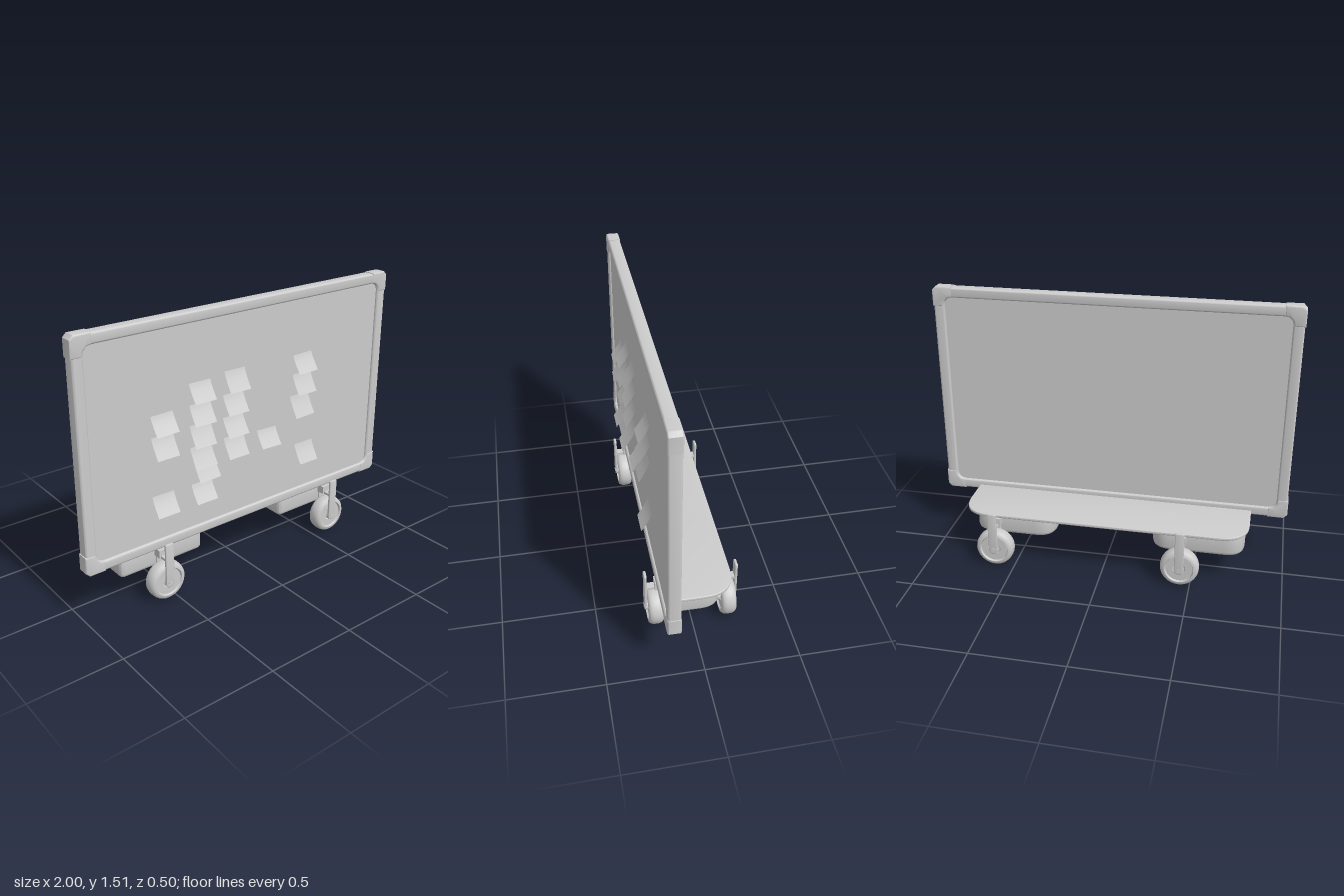
import * as THREE from 'three';
import { toCreasedNormals } from 'three/addons/utils/BufferGeometryUtils.js';

const grey = new THREE.MeshStandardMaterial({ color: 0xcccccc });
const thin = new THREE.MeshStandardMaterial({ color: 0xcccccc, side: THREE.DoubleSide });

function add(parent, name, geometry, x = 0, y = 0, z = 0, material = grey) {
  const mesh = new THREE.Mesh(geometry, material);
  mesh.name = name;
  mesh.position.set(x, y, z);
  parent.add(mesh);
  return mesh;
}

// Rounded rectangle; r1 rounds the lower corners, r2 the upper ones
function roundRect(path, x0, y0, x1, y1, r1, r2 = r1) {
  path.moveTo(x0 + r1, y0);
  path.lineTo(x1 - r1, y0);
  path.quadraticCurveTo(x1, y0, x1, y0 + r1);
  path.lineTo(x1, y1 - r2);
  path.quadraticCurveTo(x1, y1, x1 - r2, y1);
  path.lineTo(x0 + r2, y1);
  path.quadraticCurveTo(x0, y1, x0, y1 - r2);
  path.lineTo(x0, y0 + r1);
  path.quadraticCurveTo(x0, y0, x0 + r1, y0);
  return path;
}

// Extrusion from 0 to depth whose bevel stays inside the outline
function extrude(shape, depth, bevel) {
  const geometry = new THREE.ExtrudeGeometry(shape, {
    depth: depth - 2 * bevel, bevelSize: bevel, bevelThickness: bevel,
    bevelOffset: -bevel, bevelSegments: 3, curveSegments: 10,
  });
  geometry.translate(0, 0, bevel);
  return toCreasedNormals(geometry, 0.6);
}

function buildBoard() {
  const board = new THREE.Group();
  board.name = 'board';
  const outline = roundRect(new THREE.Shape(), -0.995, 0.29, 0.995, 1.508, 0.035);
  outline.holes.push(roundRect(new THREE.Path(), -0.935, 0.345, 0.935, 1.452, 0.05));
  add(board, 'frame', extrude(outline, 0.066, 0.01), 0, 0, 0.123);
  add(board, 'writingPanel', new THREE.BoxGeometry(1.9, 1.13, 0.04), 0, 0.899, 0.156);

  // Corner caps wrapped over the frame
  for (const sx of [-1, 1]) for (const sy of [-1, 1]) {
    const corner = new THREE.Shape(
      [[0.02, 0], [0.11, 0], [0.11, 0.056], [0.085, 0.062], [0.064, 0.082], [0.058, 0.11], [0, 0.11], [0, 0.02]]
        .map(([a, b]) => new THREE.Vector2(sx * (1 - a), 0.899 + sy * (0.612 - b))));
    add(board, 'cornerCap', extrude(corner, 0.07, 0.008), 0, 0, 0.121);
  }
  return board;
}

// Sticky notes: centre x, top y, height, roll
const NOTES = [
  [-0.53, 1.03, 0.095, 0.02], [-0.53, 0.915, 0.105, 0],
  [-0.535, 0.595, 0.1, 0], [-0.30, 1.145, 0.095, 0], [-0.30, 1.03, 0.1, 0],
  [-0.30, 0.92, 0.11, 0], [-0.30, 0.80, 0.11, 0.04], [-0.28, 0.725, 0.11, 0.04],
  [-0.295, 0.59, 0.095, 0], [-0.08, 1.16, 0.105, 0], [-0.09, 1.035, 0.1, 0],
  [-0.09, 0.91, 0.1, 0.02], [-0.085, 0.795, 0.105, 0], [0.14, 0.775, 0.09, -0.03],
  [0.385, 1.15, 0.095, 0.03], [0.385, 1.04, 0.105, 0], [0.37, 0.92, 0.115, 0.04],
  [0.415, 0.62, 0.105, 0],
];

function buildNotes() {
  const notes = new THREE.Group();
  notes.name = 'stickyNotes';
  for (const [x, top, height, roll] of NOTES) {
    const geometry = new THREE.PlaneGeometry(0.13, height, 1, 6);
    geometry.translate(0, -height / 2, 0);
    const p = geometry.attributes.position;
    // Each note lifts away from the board towards its lower edge
    for (let i = 0; i < p.count; i++) {
      const drop = Math.max(0, -p.getY(i) / height);
      p.setZ(i, 0.056 * Math.pow(drop, 1.25));
    }
    geometry.computeVertexNormals();
    add(notes, 'stickyNote', geometry, x, top, 0.179, thin).rotation.z = roll;
  }
  return notes;
}

function buildBase() {
  const base = new THREE.Group();
  base.name = 'base';
  // Shelf behind the board, rounded at its back corners
  const shelf = roundRect(new THREE.Shape(), -0.8, -0.16, 0.8, 0.205, 0.01, 0.17);
  add(base, 'shelf', extrude(shelf, 0.018, 0.004), 0, 0.298, 0).rotation.x = -Math.PI / 2;
  // Deep housings under the shelf
  for (const [x0, x1] of [[-0.78, -0.27], [0.285, 0.75]]) {
    const housing = roundRect(new THREE.Shape(), x0, -0.14, x1, 0.14, 0.03, 0.11);
    add(base, 'housing', extrude(housing, 0.145, 0.022), 0, 0.163, 0).rotation.x = -Math.PI / 2;
  }
  return base;
}

// Caster facing +z, its wheel axle at the group origin
function buildCaster() {
  const caster = new THREE.Group();
  caster.name = 'caster';
  const profile = [
    [0, -0.024], [0.03, -0.024], [0.035, -0.03], [0.075, -0.03], [0.08, -0.04], [0.094, -0.038],
    [0.103, -0.028], [0.107, -0.012], [0.107, 0.012], [0.103, 0.028], [0.094, 0.038],
    [0.08, 0.04], [0.075, 0.03], [0.035, 0.03], [0.03, 0.024], [0, 0.024],
  ].map(([r, y]) => new THREE.Vector2(r, y));
  const wheel = toCreasedNormals(new THREE.LatheGeometry(profile, 40), 0.7);
  add(caster, 'wheel', wheel).rotation.x = Math.PI / 2;
  const axle = new THREE.CylinderGeometry(0.012, 0.012, 0.11, 16);
  add(caster, 'axle', axle).rotation.x = Math.PI / 2;
  for (const z of [-0.042, 0.042]) {
    const cap = new THREE.CylinderGeometry(0.027, 0.027, 0.016, 24);
    add(caster, 'hubCap', cap, 0, 0, z).rotation.x = Math.PI / 2;
  }
  // Long outer arm, shorter inner arm and the mount joining them to the base
  const outer = roundRect(new THREE.Shape(), -0.025, -0.025, 0.025, 0.23, 0.022, 0.01);
  add(caster, 'outerArm', extrude(outer, 0.014, 0.003), 0, 0, 0.039);
  const inner = roundRect(new THREE.Shape(), -0.02, -0.022, 0.02, 0.19, 0.017, 0.005);
  add(caster, 'innerArm', extrude(inner, 0.01, 0.002), 0, 0, -0.052);
  add(caster, 'mount', new THREE.BoxGeometry(0.06, 0.045, 0.045), 0, 0.152, -0.025);
  add(caster, 'mountBar', new THREE.BoxGeometry(0.04, 0.014, 0.09), 0, 0.135, 0);
  return caster;
}

export function createModel() {
  const model = new THREE.Group();
  model.name = 'rollingBoard';
  model.add(buildBoard(), buildNotes(), buildBase());
  for (const [x, side] of [[-0.55, 1], [0.61, 1], [-0.44, -1], [0.61, -1]]) {
    const caster = buildCaster();
    caster.position.set(x, 0.108, side * 0.195);
    if (side < 0) caster.rotation.y = Math.PI;
    model.add(caster);
  }
  return model;
}
